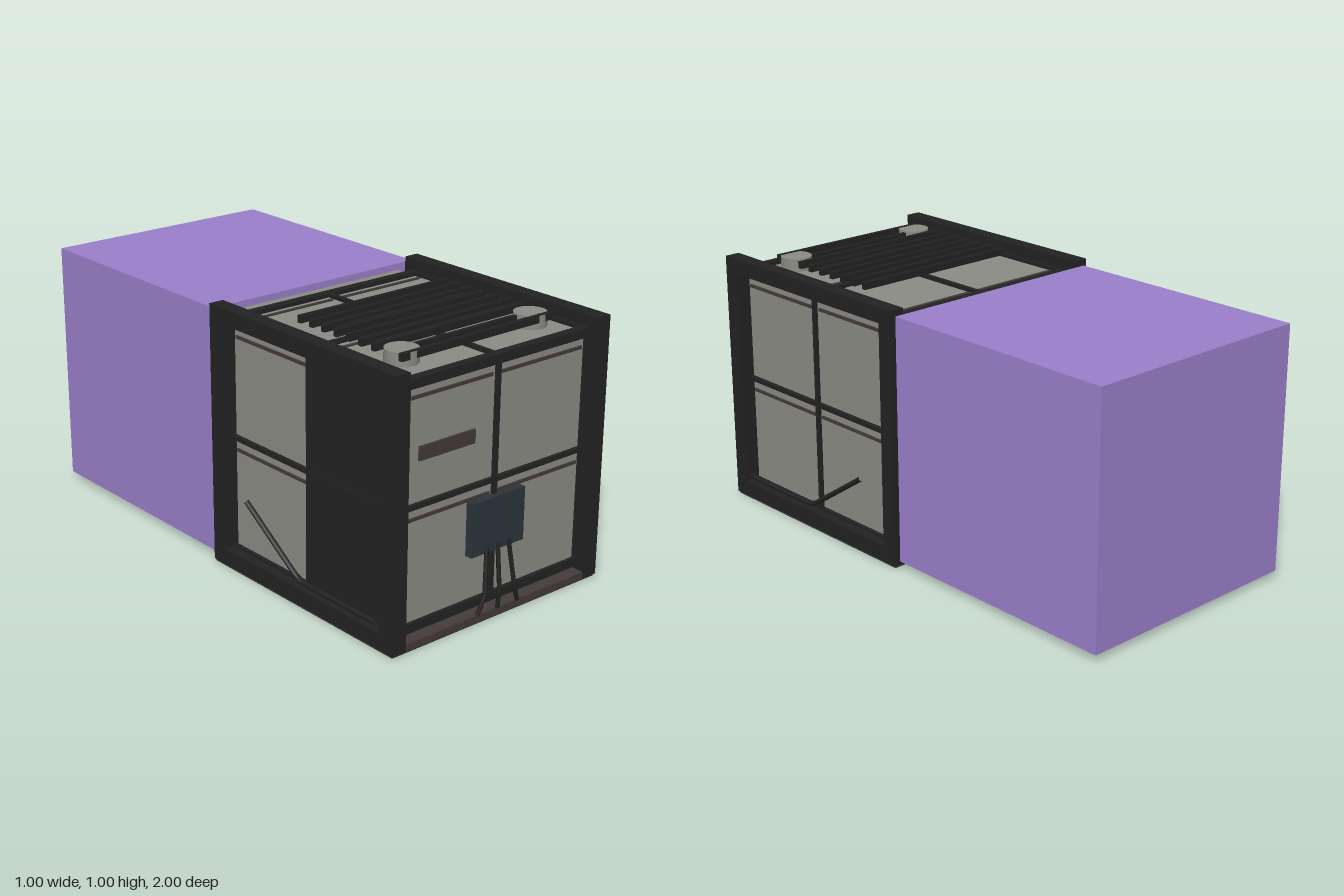
import * as THREE from 'three';

const mat = (name, color) => {
  const m = new THREE.MeshStandardMaterial({ color });
  m.name = name;
  return m;
};

export function createModel() {
  const root = new THREE.Group();
  const black = mat('frame black', 0x222222);
  const grey = mat('panel grey', 0x8b8b84);
  const brown = mat('dark brown', 0x443a3a);
  const slate = mat('slate blue', 0x2c343a);
  const purple = mat('purple', 0x9a7fca);

  // box from min and max corners
  const box = (parent, name, material, x0, x1, y0, y1, z0, z1) => {
    const m = new THREE.Mesh(new THREE.BoxGeometry(x1 - x0, y1 - y0, z1 - z0), material);
    m.position.set((x0 + x1) / 2, (y0 + y1) / 2, (z0 + z1) / 2);
    m.name = name;
    parent.add(m);
    return m;
  };
  const tube = (name, points, radius) => {
    const path = new THREE.CurvePath();
    const v = points.map(p => new THREE.Vector3(...p));
    for (let i = 1; i < v.length; i++) path.add(new THREE.LineCurve3(v[i - 1], v[i]));
    const m = new THREE.Mesh(new THREE.TubeGeometry(path, 16, radius, 8), black);
    m.name = name;
    root.add(m);
  };

  // rear block and base slab
  box(root, 'rearBlock', purple, -0.475, 0.475, 0.025, 0.975, -1, 0);
  box(root, 'baseSlab', brown, -0.49, 0.49, 0, 0.03, 0.01, 0.985);
  box(root, 'baseUnderside', black, -0.49, 0.49, -0.001, 0.001, 0.01, 0.985);

  // one walled face, centred on the cabin and facing local +z
  const wall = (name, rx, ry) => {
    const g = new THREE.Group();
    g.name = name;
    g.position.set(0, 0.5, 0.5);
    g.rotation.set(rx, ry, 0);
    box(g, 'panel', grey, -0.425, 0.425, -0.425, 0.425, 0.43, 0.44);
    for (const s of [-1, 1]) {
      const a = s * 0.438;
      box(g, 'edgeRail', black, -0.455, 0.455, a - 0.017, a + 0.017, 0.42, 0.455);
      box(g, 'edgePost', black, a - 0.017, a + 0.017, -0.42, 0.42, 0.42, 0.455);
      for (const y of [0.385, -0.045])
        box(g, 'seam', brown, s * 0.215 - 0.195, s * 0.215 + 0.195, y - 0.006, y + 0.006, 0.44, 0.446);
    }
    box(g, 'mullion', black, -0.008, 0.008, -0.425, 0.425, 0.435, 0.455);
    box(g, 'crossRail', black, -0.425, 0.425, -0.006, 0.012, 0.435, 0.455);
    root.add(g);
    return g;
  };
  wall('frontWall', 0, 0);
  wall('roof', -Math.PI / 2, 0);
  wall('leftWall', 0, Math.PI / 2);
  const rightWall = wall('rightWall', 0, -Math.PI / 2);
  wall('backWall', 0, Math.PI);
  box(rightWall, 'darkPanel', black, 0.008, 0.422, -0.422, 0.422, 0.442, 0.449);
  box(root, 'rearCollar', grey, -0.4, 0.4, 0.05, 0.95, 0.002, 0.05);

  // heavy side frames and bent struts
  for (const s of [-1, 1]) {
    const a = Math.min(s * 0.435, s * 0.495), b = a + 0.06;
    box(root, 'sidePostFront', black, a, b, 0.008, 0.998, 0.925, 0.992);
    box(root, 'sidePostBack', black, a, b, 0.008, 0.998, 0.006, 0.07);
    box(root, 'sideRailTop', black, a, b, 0.938, 0.998, 0.07, 0.925);
    box(root, 'sideRailBottom', black, a, b, 0.008, 0.07, 0.07, 0.925);
    tube('sideStrut', [[s * 0.49, 0.1, 0.9], [s * 0.49, 0.1, 0.5], [s * 0.49, 0.3, 0.2]], 0.01);
  }

  // front fittings: label plate, control box, cables
  box(root, 'frontPlate', brown, -0.375, -0.125, 0.675, 0.725, 0.968, 0.977);
  box(root, 'controlBox', slate, -0.125, 0.125, 0.25, 0.45, 0.945, 0.975);
  for (const s of [-1, 0, 1])
    tube('cable', [[s * 0.052, 0.275, 0.975], [s * 0.072, 0.1, 0.992], [s * 0.097, 0.03, 0.985]], 0.008);

  // roof fins and round caps
  const fin = (z, half, y0) => box(root, 'roofFin', black, -half, half, y0, y0 + 0.027, z - 0.009, z + 0.009);
  for (let i = 0; i < 7; i++) fin(0.328 + i * 0.064, 0.35, 0.976);
  fin(0.847, 0.35, 0.976);
  for (const z of [0.423, 0.474, 0.62, 0.676]) fin(z, 0.3, 0.965);
  fin(0.783, 0.24, 0.97);
  for (const s of [-1, 1]) {
    const cap = new THREE.Mesh(new THREE.CylinderGeometry(0.06, 0.06, 0.05, 32), grey);
    cap.position.set(s * 0.3, 0.977, 0.798);
    cap.name = 'roofCap';
    root.add(cap);
  }
  return root;
}
